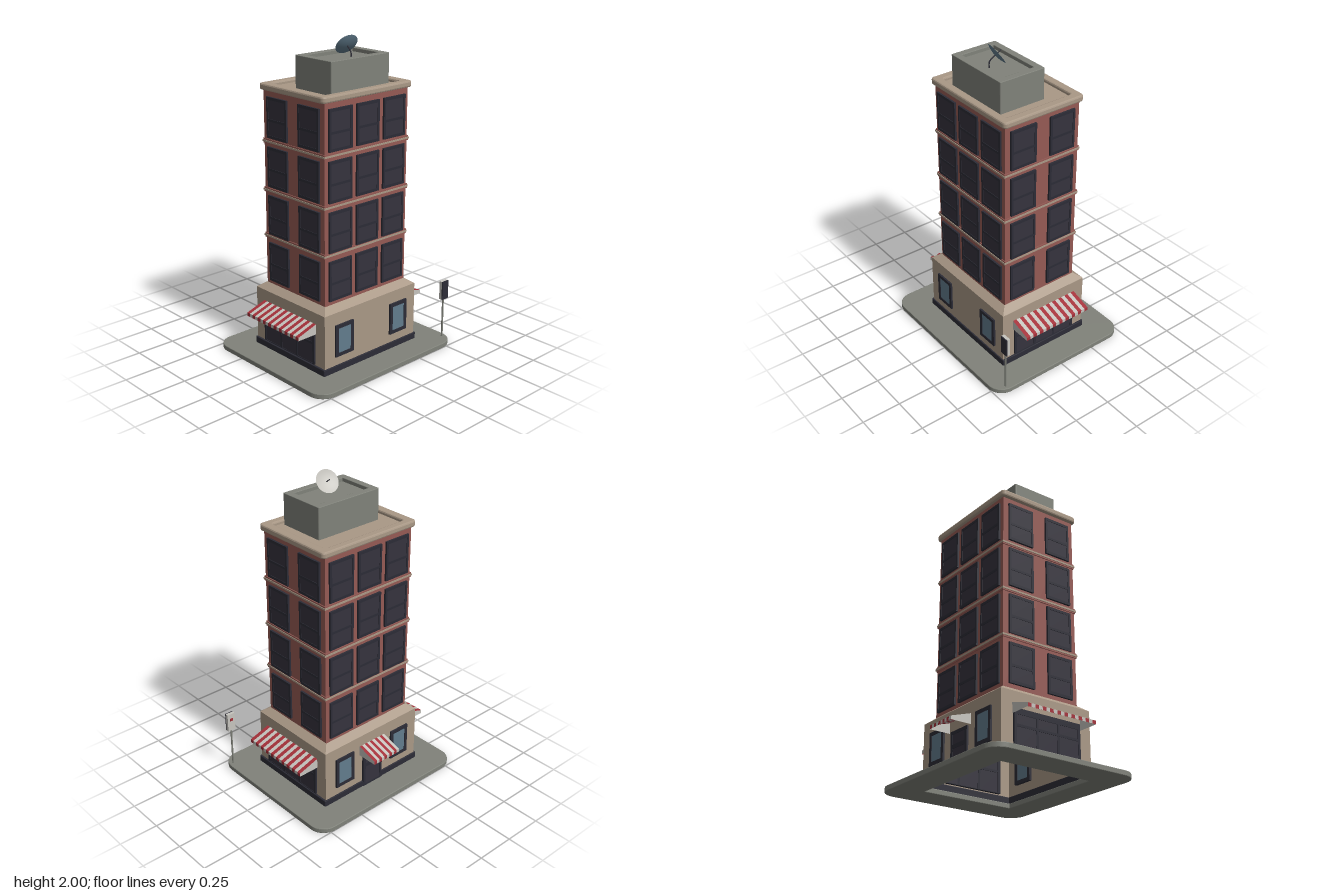
import * as THREE from 'three';

const mat = (name, color, side = THREE.FrontSide) =>
  Object.assign(new THREE.MeshStandardMaterial({ color, side }), { name });

const M = {
  concrete: mat('concrete grey', 0x80827a),
  stone: mat('warm stone', 0xa99886, THREE.DoubleSide),
  brick: mat('brick red', 0x955a54),
  dark: mat('dark trim', 0x2c2c36),
  pane: mat('dark pane', 0x35333d),
  glass: mat('blue glass', 0x627c8d),
  white: mat('off white', 0xc6c4be, THREE.DoubleSide),
  red: mat('awning red', 0xa43039, THREE.DoubleSide),
};

function add(parent, name, geo, material, x = 0, y = 0, z = 0) {
  const mesh = new THREE.Mesh(geo, material);
  mesh.name = name;
  mesh.position.set(x, y, z);
  parent.add(mesh);
  return mesh;
}

const box = (w, h, d) => new THREE.BoxGeometry(w, h, d);

function rectPath(path, w, h, r, cx = 0, cy = 0) {
  const x = w / 2, y = h / 2;
  if (r === 0) {
    path.moveTo(cx - x, cy - y).lineTo(cx + x, cy - y);
    path.lineTo(cx + x, cy + y).lineTo(cx - x, cy + y).closePath();
    return path;
  }
  path.absarc(cx + x - r, cy + y - r, r, 0, Math.PI / 2);
  path.absarc(cx - x + r, cy + y - r, r, Math.PI / 2, Math.PI);
  path.absarc(cx - x + r, cy - y + r, r, Math.PI, Math.PI * 1.5);
  path.absarc(cx + x - r, cy - y + r, r, Math.PI * 1.5, Math.PI * 2);
  path.closePath();
  return path;
}

// Horizontal slab with a rectangular opening and softened edges, bottom at y = 0
function ringSlab(w, d, r, holeW, holeD, holeR, h, bevel) {
  const shape = rectPath(new THREE.Shape(), w - 2 * bevel, d - 2 * bevel, r);
  shape.holes.push(rectPath(new THREE.Path(), holeW + 2 * bevel, holeD + 2 * bevel, holeR));
  const geo = new THREE.ExtrudeGeometry(shape, {
    depth: h - 2 * bevel, bevelSize: bevel, bevelThickness: bevel, bevelSegments: 2, curveSegments: 8,
  });
  return geo.rotateX(-Math.PI / 2).translate(0, bevel, 0);
}

// Four-sided open walls through a stack of [halfX, y, halfZ] levels
function walls(levels) {
  const corners = [[-1, 1], [1, 1], [1, -1], [-1, -1]];
  const pos = [];
  for (let i = 0; i < levels.length - 1; i++) {
    for (let k = 0; k < 4; k++) {
      const p = (l, c) => [levels[l][0] * c[0], levels[l][1], levels[l][2] * c[1]];
      const a = corners[k], b = corners[(k + 1) % 4];
      pos.push(...p(i, a), ...p(i, b), ...p(i + 1, b), ...p(i, a), ...p(i + 1, b), ...p(i + 1, a));
    }
  }
  const geo = new THREE.BufferGeometry();
  geo.setAttribute('position', new THREE.Float32BufferAttribute(pos, 3));
  geo.computeVertexNormals();
  return geo;
}

// Frame with openings [cx, cy, w, h] and panes set back in it, facing local +z
function framed(name, w, h, depth, openings, paneMat) {
  const g = new THREE.Group();
  g.name = name;
  const shape = rectPath(new THREE.Shape(), w, h, 0);
  for (const [cx, cy, ow, oh] of openings) {
    shape.holes.push(rectPath(new THREE.Path(), ow, oh, 0, cx, cy));
    add(g, 'pane', box(ow, oh, depth - 0.007), paneMat, cx, cy, -depth / 2 + 0.0005);
  }
  add(g, 'frame', new THREE.ExtrudeGeometry(shape, { depth, bevelEnabled: false }), M.dark, 0, 0, -depth);
  return g;
}

// Puts a part on one of the four sides: along = offset to the right, out = distance from the axis
function onSide(parent, part, angle, along, y, out) {
  const pivot = new THREE.Group();
  pivot.name = part.name + 'Mount';
  pivot.rotation.y = angle;
  part.position.set(along, y, out);
  pivot.add(part);
  parent.add(pivot);
}

// Striped lean-to awning, wall edge at z = 0 and reaching out along +z
function awning(width, reach, stripes, firstRed) {
  const g = new THREE.Group();
  g.name = 'awning';
  const top = 0.065, lip = 0.022, s = width / stripes;
  for (let i = 0; i < stripes; i++) {
    const m = (i % 2 === 0) === firstRed ? M.red : M.white;
    const x = -width / 2 + (i + 0.5) * s;
    const slope = new THREE.PlaneGeometry(s, Math.hypot(reach, top - lip));
    slope.rotateX(-Math.atan2(reach, top - lip));
    add(g, 'stripe', slope, m, x, (top + lip) / 2, reach / 2);
    add(g, 'valance', new THREE.PlaneGeometry(s, lip), m, x, lip / 2, reach);
  }
  const cheek = new THREE.Shape([[0, 0], [reach, 0], [reach, lip], [0, top]].map(p => new THREE.Vector2(...p)));
  for (const side of [-1, 1]) {
    add(g, 'cheek', new THREE.ShapeGeometry(cheek).rotateY(-Math.PI / 2), M.white, side * width / 2);
  }
  return g;
}

export function createModel() {
  const root = new THREE.Group();
  root.name = 'apartmentTower';
  const FRONT = 0, LEFT = Math.PI / 2, BACK = Math.PI, RIGHT = -Math.PI / 2;

  // Pavement, plinth and stone ground floor
  add(root, 'pavement', ringSlab(1.15, 1.004, 0.1, 0.74, 0.62, 0.01, 0.032, 0.004), M.concrete);
  add(root, 'plinth', ringSlab(0.79, 0.652, 0.004, 0.75, 0.62, 0.004, 0.042, 0.003), M.dark, 0, 0.03, 0);
  add(root, 'groundFloorWalls', walls([[0.383, 0.03, 0.318], [0.383, 0.415, 0.318], [0.335, 0.45, 0.27]]), M.stone);

  // Ground floor windows, front and back
  for (const angle of [FRONT, BACK]) {
    for (const x of [-0.23, 0.23]) {
      onSide(root, framed('groundWindow', 0.145, 0.205, 0.03, [[0, 0, 0.1, 0.16]], M.glass), angle, x, 0.233, 0.33);
    }
  }

  // Back door with its awning
  onSide(root, framed('backDoor', 0.16, 0.25, 0.03, [[0, 0.075, 0.12, 0.06], [0, -0.045, 0.12, 0.13]], M.pane),
    BACK, 0, 0.155, 0.33);
  onSide(root, awning(0.21, 0.135, 10, true), BACK, 0, 0.28, 0.32);

  // Shop fronts with awnings on both sides
  const shopPanes = [];
  for (const x of [-0.15, 0, 0.15]) shopPanes.push([x, 0.055, 0.135, 0.055], [x, -0.05, 0.135, 0.125]);
  for (const angle of [LEFT, RIGHT]) {
    onSide(root, framed('shopFront', 0.47, 0.235, 0.03, shopPanes, M.pane), angle, 0, 0.197, 0.394);
    onSide(root, awning(0.485, 0.137, 19, true), angle, 0, 0.28, 0.385);
  }

  // Brick tower with string courses between the storeys
  add(root, 'brickTower', box(0.67, 1.24, 0.535), M.brick, 0, 1.065, 0);
  for (const y of [0.765, 1.06, 1.365]) {
    add(root, 'brickCourse', box(0.682, 0.03, 0.546), M.brick, 0, y, 0);
    add(root, 'stoneCourse', box(0.69, 0.011, 0.554), M.stone, 0, y, 0);
  }

  // Upper windows
  const sash = [[0, 0.05, 0.15, 0.115], [0, -0.065, 0.15, 0.085]];
  for (const y of [0.6, 0.905, 1.21, 1.515]) {
    for (const angle of [FRONT, BACK]) {
      for (const x of [-0.217, 0, 0.217]) {
        onSide(root, framed('upperWindow', 0.18, 0.25, 0.02, sash, M.pane), angle, x, y, 0.28);
      }
    }
    for (const angle of [LEFT, RIGHT]) {
      for (const x of [-0.14, 0.14]) {
        onSide(root, framed('upperWindow', 0.18, 0.25, 0.02, sash, M.pane), angle, x, y, 0.348);
      }
    }
  }

  // Roof cornice with sunken deck, and the concrete roof room
  add(root, 'cornice', ringSlab(0.72, 0.572, 0.015, 0.605, 0.465, 0.03, 0.04, 0.01), M.stone, 0, 1.676, 0);
  add(root, 'roofDeck', box(0.64, 0.014, 0.5), M.stone, 0, 1.687, 0);
  add(root, 'roofRoom', ringSlab(0.463, 0.312, 0.004, 0.375, 0.225, 0.004, 0.2, 0.003), M.concrete, -0.003, 1.69, 0.06);
  add(root, 'roofRoomDeck', box(0.4, 0.02, 0.25), M.concrete, -0.003, 1.857, 0.06);

  // Satellite dish looking up and backwards
  const dish = new THREE.Group();
  dish.name = 'satelliteDish';
  dish.position.set(0.012, 1.941, 0.082);
  const aim = new THREE.Vector3(0.15, 0.57, -0.8).normalize();
  dish.quaternion.setFromUnitVectors(new THREE.Vector3(0, 1, 0), aim);
  const bowl = lift => Array.from({ length: 7 }, (_, i) => {
    const t = i / 6;
    return new THREE.Vector2(0.072 * t, 0.014 * t * t - 0.007 + lift * (1 - t));
  });
  add(dish, 'dishBack', new THREE.LatheGeometry(bowl(0), 32), M.glass);
  add(dish, 'dishFace', new THREE.LatheGeometry(bowl(0.002).reverse(), 32), M.white);
  add(dish, 'feedArm', new THREE.CylinderGeometry(0.003, 0.003, 0.045, 8), M.dark, 0, 0.018, 0);
  root.add(dish);
  const stand = new THREE.CatmullRomCurve3([
    new THREE.Vector3(0.005, 1.865, 0.125), new THREE.Vector3(0.005, 1.905, 0.122), new THREE.Vector3(0.011, 1.936, 0.088),
  ]);
  add(root, 'dishStand', new THREE.TubeGeometry(stand, 10, 0.004, 8), M.dark);

  // Street sign on a pole
  add(root, 'signPole', new THREE.CylinderGeometry(0.006, 0.006, 0.28, 10), M.concrete, 0.544, 0.16, 0.422);
  add(root, 'signBox', box(0.055, 0.122, 0.02), M.white, 0.545, 0.356, 0.422);
  add(root, 'signFace', box(0.055, 0.122, 0.006), M.dark, 0.545, 0.356, 0.435);
  add(root, 'signMark', box(0.02, 0.02, 0.003), M.red, 0.545, 0.375, 0.4115);

  return root;
}
